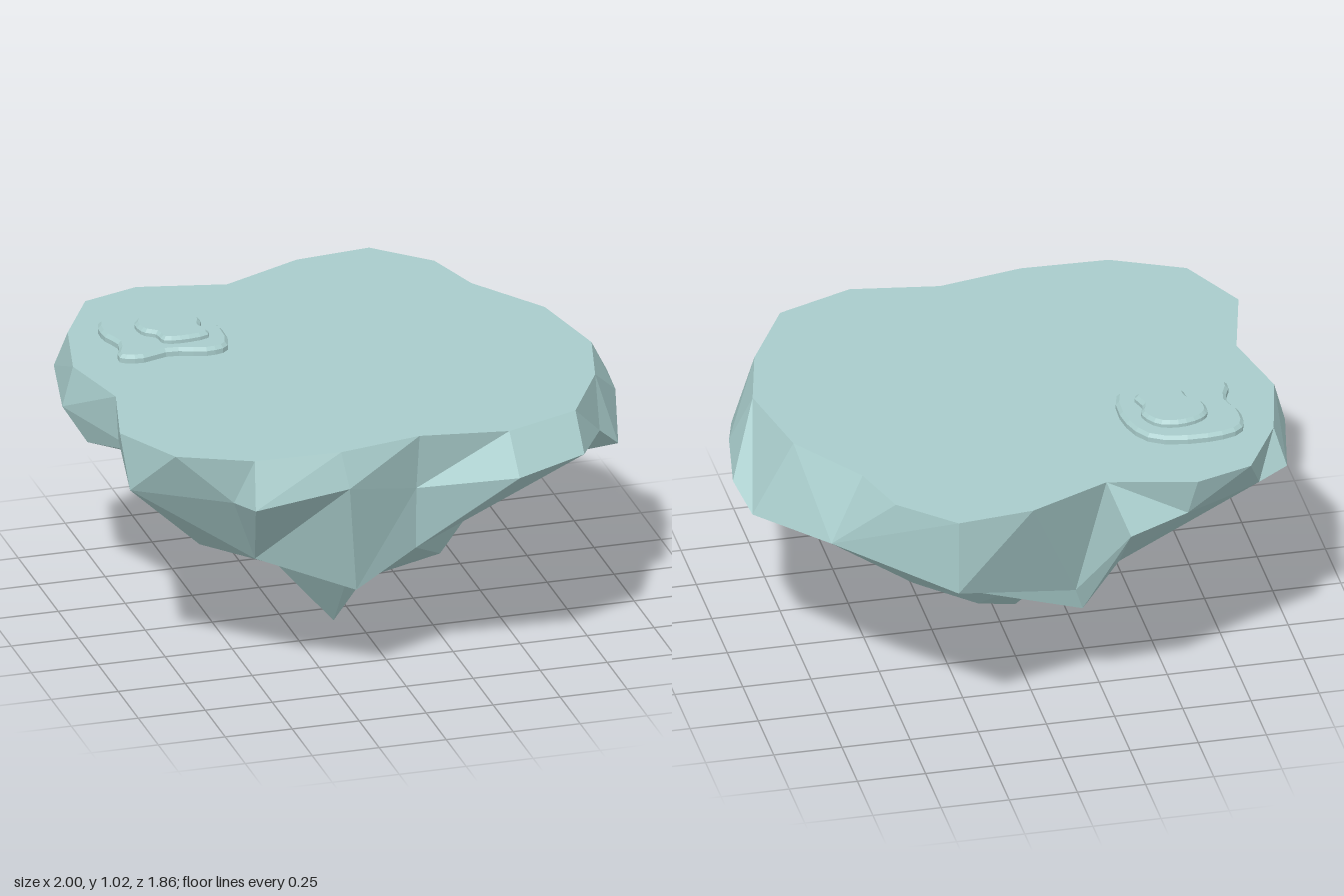
import * as THREE from 'three';

const material = new THREE.MeshStandardMaterial({ color: 0xa8cccb, flatShading: true });

// Outline of the flat top, as x, z, from the front round by +x
const TOP = 0.97;
const rim = [
  [-0.26, 0.81], [0.05, 0.75], [0.37, 0.80], [0.65, 0.69], [0.81, 0.40], [0.88, 0.12], [0.81, -0.23],
  [0.62, -0.51], [0.55, -0.74], [0.36, -0.92], [0.08, -0.89], [-0.22, -0.75], [-0.54, -0.82],
  [-0.75, -0.75], [-0.89, -0.50], [-0.96, -0.20], [-0.89, 0.10], [-0.97, 0.42], [-0.84, 0.68], [-0.58, 0.80],
].map(([x, z]) => [x, TOP, z]);

// Cross-sections of the rock, x, y, z and an optional angle that decides how it is joined
const shoulder = [
  [-0.24, 0.84, 0.85], [0.05, 0.75, 0.71], [0.37, 0.84, 0.93, 64], [0.65, 0.845, 0.80], [0.80, 0.79, 0.49],
  [0.89, 0.70, 0.42], [0.96, 0.79, 0.15], [1.00, 0.76, -0.09], [0.96, 0.695, -0.23], [0.75, 0.745, -0.58],
  [0.36, 0.68, -0.92], [-0.13, 0.48, -0.65], [-0.27, 0.84, -0.93, -108],
  [-0.51, 0.83, -0.79, -120], [-0.68, 0.80, -0.66], [-0.83, 0.77, -0.53],
  [-0.93, 0.83, -0.54, -152], [-1.00, 0.82, -0.20], [-0.88, 0.80, 0.10], [-0.95, 0.77, 0.48],
  [-0.64, 0.79, 0.74], [-0.60, 0.81, 0.88],
];
const belly = [
  [-0.18, 0.39, 0.73], [0.06, 0.50, 0.67], [0.50, 0.60, 0.28], [0.70, 0.60, -0.14], [0.45, 0.54, -0.57],
  [-0.16, 0.39, -0.63], [-0.30, 0.55, -0.60], [-0.90, 0.66, -0.22], [-0.69, 0.63, -0.11],
  [-0.64, 0.45, 0.31], [-0.52, 0.50, 0.60],
];
const root = [
  [-0.10, 0.27, 0.35], [0.24, 0.33, 0.37, 75], [0.29, 0.23, 0.03, 20], [0.29, 0.24, -0.11, 0],
  [0.14, 0.24, -0.26], [-0.12, 0.35, -0.31, -95], [-0.30, 0.26, 0.15],
];
const tip = [[-0.08, 0, 0.11, 275], [0.06, 0.11, 0.02, 80]];
const topCentre = [[0, TOP, 0]];

// Angle round the rock, falling from the front by +x to the back
function angle([x, , z, key]) {
  if (key !== undefined) return key;
  const a = THREE.MathUtils.radToDeg(Math.atan2(z, x));
  return a > 110 ? a - 360 : a;
}

// Joins an upper and a lower loop with triangles, taking the points in order of angle
function join(out, upper, lower) {
  const at = (loop, i) => loop[i % loop.length];
  const next = (loop, i) => {
    if (loop.length === 1 || i >= loop.length) return -Infinity;
    return i + 1 === loop.length ? angle(loop[0]) - 360 : angle(loop[i + 1]);
  };
  const add = (...points) => points.forEach((p) => out.push(p[0], p[1], p[2]));
  let i = 0, j = 0;
  while (true) {
    const a = next(upper, i), b = next(lower, j);
    if (a === -Infinity && b === -Infinity) return;
    if (a >= b) add(at(upper, i), at(lower, j), at(upper, ++i));
    else add(at(upper, i), at(lower, j), at(lower, ++j));
  }
}

function loft(name, loops) {
  const positions = [];
  for (let k = 0; k + 1 < loops.length; k++) join(positions, loops[k], loops[k + 1]);
  const geometry = new THREE.BufferGeometry();
  geometry.setAttribute('position', new THREE.Float32BufferAttribute(positions, 3));
  geometry.computeVertexNormals();
  const mesh = new THREE.Mesh(geometry, material);
  mesh.name = name;
  return mesh;
}

// Flat rounded slab from a smooth closed outline in x, z
function slab(name, outline, top, height) {
  const bevel = 0.012;
  const curve = new THREE.CatmullRomCurve3(outline.map(([x, z]) => new THREE.Vector3(x, z, 0)), true);
  const points = curve.getPoints(30).slice(0, -1).map((p) => new THREE.Vector2(p.x, p.y));
  const geometry = new THREE.ExtrudeGeometry(new THREE.Shape(points), {
    depth: height - 2 * bevel, bevelEnabled: true, bevelThickness: bevel,
    bevelSize: bevel, bevelOffset: -bevel, bevelSegments: 1,
  });
  geometry.rotateX(Math.PI / 2);
  const mesh = new THREE.Mesh(geometry, material);
  mesh.position.y = top - bevel;
  mesh.name = name;
  return mesh;
}

export function createModel() {
  const model = new THREE.Group();
  model.name = 'floatingIsland';

  model.add(loft('rock', [rim, shoulder, belly, root, tip]));
  model.add(loft('ground', [topCentre, rim]));

  // Stepped flat stones near the back corner
  const stones = new THREE.Group();
  stones.name = 'steppedStones';
  stones.add(slab('lowerStone', [
    [-0.64, -0.55], [-0.44, -0.51], [-0.37, -0.36], [-0.39, -0.18], [-0.47, -0.155], [-0.60, -0.19],
    [-0.72, -0.16], [-0.79, -0.19], [-0.76, -0.30], [-0.79, -0.40], [-0.77, -0.51],
  ], 1.0, 0.05));
  stones.add(slab('upperStone', [
    [-0.636, -0.45], [-0.556, -0.475], [-0.476, -0.455], [-0.433, -0.375], [-0.45, -0.32], [-0.435, -0.25],
    [-0.53, -0.225], [-0.61, -0.24], [-0.62, -0.295], [-0.66, -0.33], [-0.668, -0.41],
  ], 1.025, 0.045));
  model.add(stones);

  return model;
}
